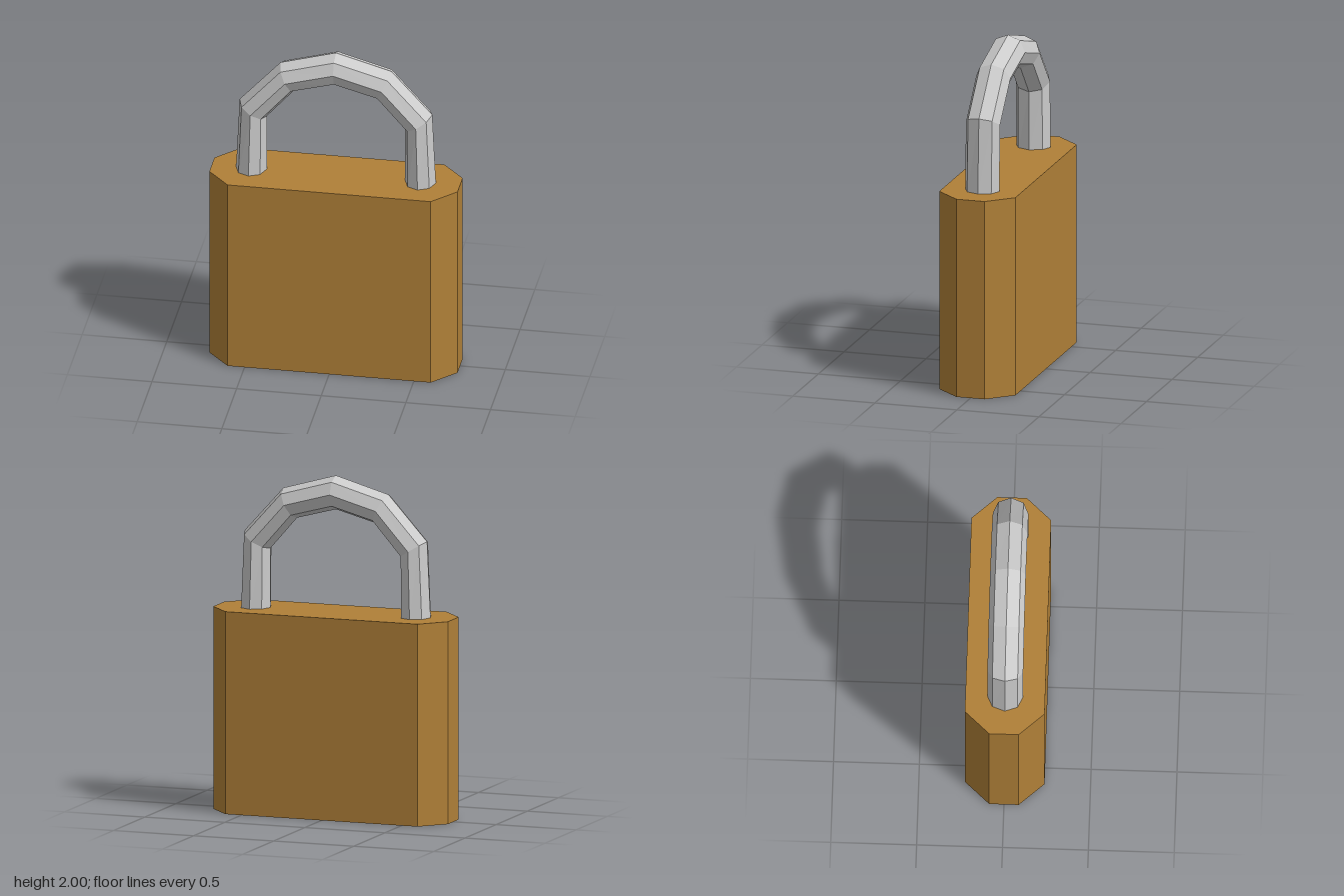
import * as THREE from 'three';

const SIDES = 8;

// Sweeps an eight-sided cross-section through stations of [outerX, outerY, innerX, innerY]
function sweepSections(stations, depthRadius) {
  const positions = [];
  const index = [];
  stations.forEach(([ox, oy, ix, iy], i) => {
    for (let j = 0; j < SIDES; j++) {
      const a = (j / SIDES) * Math.PI * 2;
      const k = Math.cos(a) / 2;
      positions.push(
        (ox + ix) / 2 + (ox - ix) * k,
        (oy + iy) / 2 + (oy - iy) * k,
        Math.sin(a) * depthRadius
      );
      if (i < stations.length - 1) {
        const p = i * SIDES + j;
        const q = i * SIDES + ((j + 1) % SIDES);
        index.push(p, q, q + SIDES, p, q + SIDES, p + SIDES);
      }
    }
  });
  const geometry = new THREE.BufferGeometry();
  geometry.setAttribute('position', new THREE.Float32BufferAttribute(positions, 3));
  geometry.setIndex(index);
  geometry.computeVertexNormals();
  return geometry;
}

export function createModel() {
  const group = new THREE.Group();
  group.name = 'padlock';

  // Body: block with chamfered upright corners
  const w = 0.733, cw = 0.6, d = 0.232, cd = 0.086, height = 1.195;
  const outline = new THREE.Shape([
    [w, -cd], [w, cd], [cw, d], [-cw, d], [-w, cd], [-w, -cd], [-cw, -d], [cw, -d],
  ].map(([x, y]) => new THREE.Vector2(x, y)));
  const bodyGeometry = new THREE.ExtrudeGeometry(outline, { depth: height, bevelEnabled: false });
  bodyGeometry.rotateX(-Math.PI / 2);
  const body = new THREE.Mesh(
    bodyGeometry,
    new THREE.MeshStandardMaterial({ color: 0xb08038, flatShading: true })
  );
  body.name = 'body';
  group.add(body);

  // Shackle: left half of the arch, then its mirror image
  const half = [
    [-0.591, 1.18, -0.409, 1.18],
    [-0.569, 1.643, -0.409, 1.545],
    [-0.328, 1.907, -0.243, 1.735],
  ];
  const mirrored = half.map(([ox, oy, ix, iy]) => [-ox, oy, -ix, iy]).reverse();
  const shackle = new THREE.Mesh(
    sweepSections([...half, [0, 2, 0, 1.8], ...mirrored], 0.104),
    new THREE.MeshStandardMaterial({ color: 0xcccccc, flatShading: true })
  );
  shackle.name = 'shackle';
  group.add(shackle);

  return group;
}
